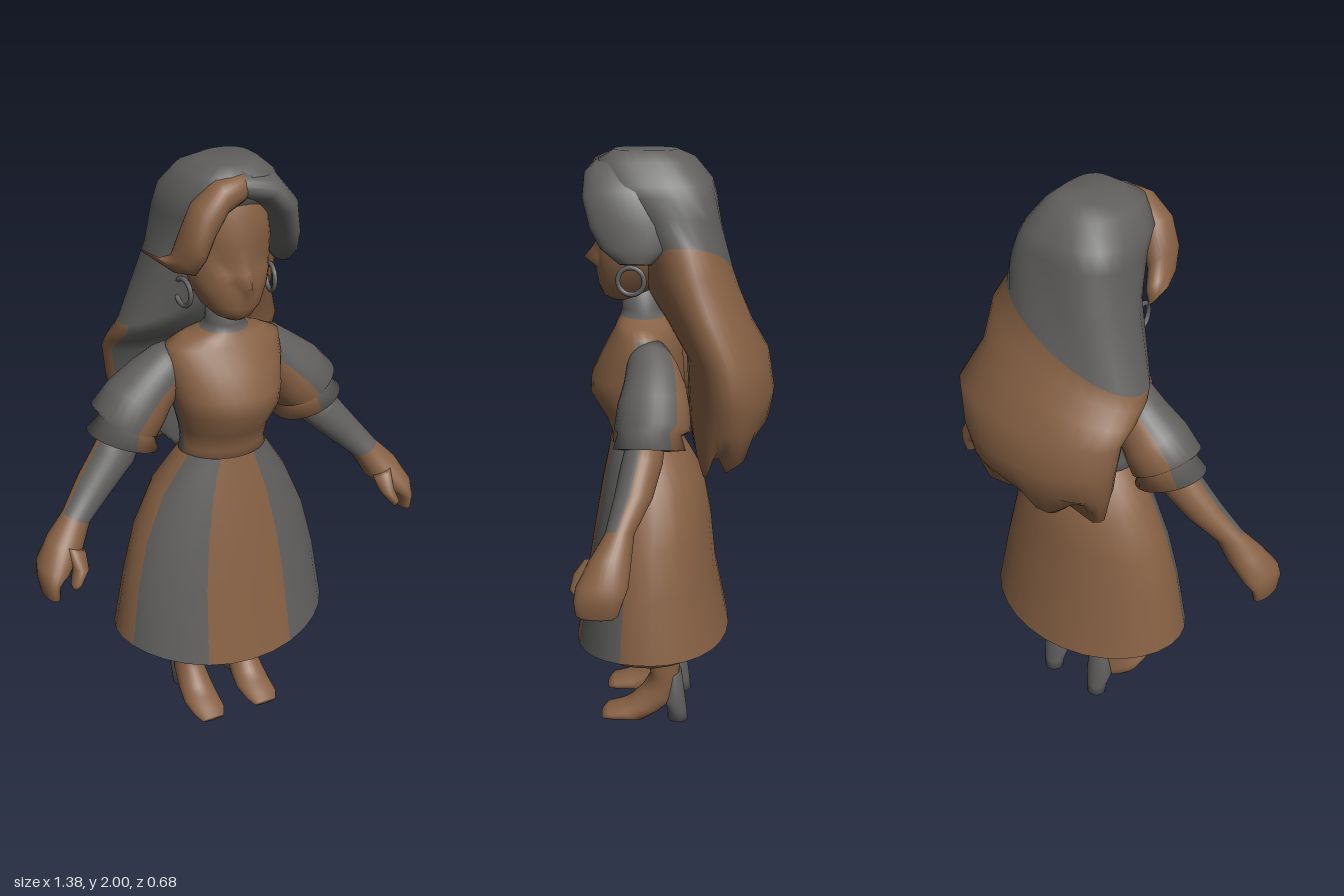
import * as THREE from 'three';

const N = 30; // points around every cross-section
const brown = new THREE.MeshStandardMaterial({ color: 0x876144, side: THREE.DoubleSide });
brown.name = 'warm brown';
const grey = new THREE.MeshStandardMaterial({ color: 0x605f5e, side: THREE.DoubleSide });
grey.name = 'slate grey';
const BROWN = () => 0, GREY = () => 1;

// Skins rings from top to bottom. Each ring is [ax, ay, bx, by, zFront, zBack, tilt]:
// a is its +x edge, b its -x edge, tilt lifts the front and lowers the back.
// paint(angle, y, x, ring) picks the colour; angle 0 faces front, 90 faces +x.
function loft(name, rings, paint = BROWN, { capped = true, warp = null } = {}) {
  const pos = [], faces = [[], []];
  rings.forEach(([ax, ay, bx, by, zf, zb, tilt = 0], i) => {
    for (let j = 0; j < N; j++) {
      const t = (j / N) * Math.PI * 2, s = Math.sin(t), c = Math.cos(t);
      const p = new THREE.Vector3(
        (ax + bx) / 2 + ((ax - bx) / 2) * s,
        (ay + by) / 2 + ((ay - by) / 2) * s + tilt * c,
        (zf + zb) / 2 + ((zf - zb) / 2) * c);
      if (warp) warp(p, i, t);
      pos.push(p.x, p.y, p.z);
    }
  });
  const at = (i, j) => i * N + (j % N);
  for (let i = 0; i < rings.length - 1; i++) {
    for (let j = 0; j < N; j++) {
      let angle = ((j + 0.5) * 360) / N;
      if (angle > 180) angle -= 360;
      const a = at(i, j), b = at(i + 1, j), c = at(i + 1, j + 1), d = at(i, j + 1);
      const mid = (k) => (pos[a * 3 + k] + pos[b * 3 + k] + pos[c * 3 + k] + pos[d * 3 + k]) / 4;
      faces[paint(angle, mid(1), mid(0), i)].push(a, b, c, a, c, d);
    }
  }
  if (capped) {
    for (const i of [0, rings.length - 1]) {
      const m = pos.length / 3, sum = [0, 0, 0];
      for (let j = 0; j < N; j++) for (let k = 0; k < 3; k++) sum[k] += pos[at(i, j) * 3 + k] / N;
      pos.push(...sum);
      const colour = paint(0, sum[1], sum[0], i);
      for (let j = 0; j < N; j++) {
        if (i === 0) faces[colour].push(m, at(i, j), at(i, j + 1));
        else faces[colour].push(m, at(i, j + 1), at(i, j));
      }
    }
  }
  const g = new THREE.BufferGeometry();
  g.setAttribute('position', new THREE.Float32BufferAttribute(pos, 3));
  g.setIndex([...faces[0], ...faces[1]]);
  g.addGroup(0, faces[0].length, 0);
  g.addGroup(faces[0].length, faces[1].length, 1);
  g.computeVertexNormals();
  const mesh = new THREE.Mesh(g, [brown, grey]);
  mesh.name = name;
  return mesh;
}

// Level ring: height, half width, front z, back z, tilt
const level = ([y, w, zf, zb, tilt = 0], x = 0) => [x + w, y, x - w, y, zf, zb, tilt];
// Limb ring given as outer x, y, inner x, y, z centre, half depth; s picks the side
const limb = (s) => ([ox, oy, ix, iy, z, h]) =>
  s > 0 ? [ox, oy, ix, iy, z + h, z - h] : [-ix, iy, -ox, oy, z + h, z - h];

function createArm(s) {
  const arm = new THREE.Group();
  arm.name = s > 0 ? 'leftArm' : 'rightArm';
  const rings = (list) => list.map(limb(s));
  // Puffed sleeve with a flared cuff
  arm.add(loft('sleeve', rings([
    [0.17, 1.42, 0.13, 1.26, 0.06, 0.07],
    [0.215, 1.405, 0.16, 1.22, 0.05, 0.085],
    [0.28, 1.36, 0.18, 1.19, 0.04, 0.1],
    [0.365, 1.3, 0.2, 1.15, 0.04, 0.115],
    [0.43, 1.23, 0.225, 1.11, 0.04, 0.12],
    [0.405, 1.19, 0.24, 1.115, 0.05, 0.1],
    [0.455, 1.15, 0.225, 1.065, 0.05, 0.115],
    [0.4, 1.13, 0.29, 1.08, 0.06, 0.06],
  ]), (a) => (a * s > 0 && a * s < 132 ? 1 : 0)));
  // Forearm running into a cupped hand
  arm.add(loft('forearmAndHand', rings([
    [0.4, 1.17, 0.29, 1.09, 0.06, 0.06],
    [0.44, 1.11, 0.315, 1.04, 0.07, 0.065],
    [0.51, 1.02, 0.4, 0.965, 0.09, 0.06],
    [0.58, 0.93, 0.495, 0.885, 0.125, 0.045],
    [0.645, 0.865, 0.535, 0.81, 0.15, 0.065],
    [0.69, 0.79, 0.59, 0.76, 0.17, 0.08],
    [0.692, 0.74, 0.63, 0.735, 0.18, 0.075],
    [0.685, 0.69, 0.635, 0.69, 0.185, 0.065],
    [0.675, 0.68, 0.65, 0.68, 0.185, 0.05],
  ]), (a, y) => (y > 0.92 && a * s < 84 && a * s > -120 ? 1 : 0)));
  arm.add(loft('thumb', rings([
    [0.6, 0.85, 0.54, 0.82, 0.2, 0.03],
    [0.595, 0.79, 0.545, 0.78, 0.235, 0.03],
    [0.61, 0.745, 0.575, 0.74, 0.25, 0.025],
    [0.607, 0.725, 0.59, 0.722, 0.25, 0.012],
  ])));
  return arm;
}

function createLeg(s) {
  const leg = new THREE.Group();
  leg.name = s > 0 ? 'leftLeg' : 'rightLeg';
  const x = 0.105 * s;
  // Leg and shoe upper, tilting forward towards the toe
  leg.add(loft('legAndShoe', [
    [0.55, 0.07, 0.1, -0.06],
    [0.35, 0.064, 0.095, -0.05],
    [0.18, 0.052, 0.07, -0.03],
    [0.11, 0.053, 0.1, -0.025, 0.018],
    [0.06, 0.06, 0.14, 0.04, 0.025],
    [0.031, 0.063, 0.175, 0.1, 0.031],
    [0.023, 0.058, 0.225, 0.19, 0.023],
    [0.012, 0.042, 0.245, 0.235, 0.012],
  ].map((r) => level(r, x))));
  leg.add(loft('shoeHeel', [
    [0.19, 0.04, 0.01, -0.04],
    [0.09, 0.05, 0.03, -0.052],
    [0.04, 0.038, 0.01, -0.058],
    [0, 0.034, 0.01, -0.062],
  ].map((r) => level(r, x)), GREY));
  return leg;
}

function createHead() {
  const head = new THREE.Group();
  head.name = 'head';
  // Nose profile, added to the middle of each face ring
  const nose = [0, 0, 0, 0.004, 0.024, 0.047, 0.008, 0, 0, 0];
  head.add(loft('face', [
    [1.93, 0.09, 0.2, 0], [1.85, 0.13, 0.235, -0.04], [1.76, 0.142, 0.238, -0.05],
    [1.71, 0.141, 0.235, -0.05], [1.675, 0.138, 0.237, -0.04], [1.645, 0.132, 0.24, -0.025],
    [1.615, 0.123, 0.242, -0.01], [1.56, 0.095, 0.238, 0.04],
    [1.525, 0.06, 0.224, 0.08], [1.51, 0.03, 0.2, 0.12],
  ].map((r) => level(r)), BROWN, {
    warp: (p, i, t) => {
      if (t === 0) p.z += nose[i];
      // Shallow eye sockets
      if (i === 3 && Math.abs(Math.sin(t) - 0) > 0.3 && Math.cos(t) > 0.75) p.z -= 0.012;
    },
  }));
  for (const s of [1, -1]) {
    const hoop = new THREE.Mesh(new THREE.TorusGeometry(0.043, 0.008, 8, 20), grey);
    hoop.name = s > 0 ? 'leftEarring' : 'rightEarring';
    hoop.position.set(0.152 * s, 1.6, 0.12);
    hoop.rotation.y = s * 1.42;
    head.add(hoop);
  }
  return head;
}

function createHair() {
  const hair = new THREE.Group();
  hair.name = 'hair';
  // Long mane: left x, y, right x, y, front z, back z; dyed grey above the sloping ring 5
  const mane = [
    [0.1, 1.997, -0.06, 1.99, 0.18, -0.02], [0.14, 1.965, -0.125, 1.965, 0.23, -0.075],
    [0.185, 1.9, -0.175, 1.895, 0.235, -0.13], [0.197, 1.865, -0.185, 1.83, 0.19, -0.145],
    [0.208, 1.81, -0.2, 1.7, 0.145, -0.16], [0.225, 1.72, -0.295, 1.46, 0.1, -0.2],
    [0.268, 1.64, -0.305, 1.42, 0.08, -0.225], [0.275, 1.5, -0.31, 1.38, 0.02, -0.265],
    [0.335, 1.36, -0.305, 1.33, -0.05, -0.32], [0.305, 1.22, -0.29, 1.22, -0.055, -0.34],
    [0.28, 1.13, -0.275, 1.13, -0.06, -0.325], [0.25, 1.04, -0.24, 1.04, -0.07, -0.28],
    [0.2, 0.995, -0.19, 0.995, -0.09, -0.22],
  ];
  const last = mane.length - 1;
  hair.add(loft('mane', mane, (a, y, x, i) => (i < 5 || (Math.abs(a) < 78 && x < 0) ? 1 : 0), {
    warp: (p, i, t) => {
      // Squarer crown
      const k = i < 5 ? 1 + 0.1 * Math.sin(2 * t) ** 2 : 1;
      p.x *= k;
      p.z = 0.05 + (p.z - 0.05) * k;
      // Pointed locks along the bottom, longer towards the body
      if (i >= last - 1) p.y += 0.04 * Math.sin(5 * t) - 0.02 * Math.cos(t);
    },
  }));
  // Swept fringe with a flicked tip
  hair.add(loft('fringe', [
    [0.0, 1.89, 0.0, 1.975, 0.25, 0.16],
    [-0.06, 1.865, -0.085, 1.965, 0.27, 0.16],
    [-0.1, 1.8, -0.16, 1.905, 0.28, 0.15],
    [-0.128, 1.73, -0.195, 1.815, 0.275, 0.14],
    [-0.15, 1.68, -0.205, 1.74, 0.245, 0.11],
    [-0.19, 1.675, -0.225, 1.72, 0.17, 0.08],
    [-0.245, 1.715, -0.255, 1.73, 0.05, 0.02],
  ]));
  hair.add(loft('sideSweep', [
    [0.0, 1.985, -0.01, 1.89, 0.25, 0.08],
    [0.12, 1.965, 0.05, 1.875, 0.27, 0.04],
    [0.19, 1.885, 0.1, 1.83, 0.27, 0.02],
    [0.214, 1.79, 0.13, 1.745, 0.245, 0],
    [0.222, 1.715, 0.148, 1.7, 0.21, 0.01],
    [0.225, 1.67, 0.175, 1.655, 0.15, 0.05],
  ], GREY));
  return hair;
}

export function createModel() {
  const model = new THREE.Group();
  model.name = 'womanInDress';
  // Bodice and neck
  model.add(loft('bodice', [
    [1.56, 0.06, 0.165, 0.04], [1.48, 0.062, 0.165, 0.035], [1.457, 0.08, 0.17, 0.02],
    [1.44, 0.14, 0.18, 0], [1.415, 0.195, 0.19, -0.02], [1.34, 0.198, 0.23, -0.035],
    [1.26, 0.187, 0.268, -0.04], [1.2, 0.178, 0.272, -0.04], [1.12, 0.152, 0.225, -0.035],
    [1.06, 0.145, 0.203, -0.03], [0.98, 0.16, 0.2, -0.04],
  ].map((r) => level(r)), (a, y) =>
    (y > 1.45 || (y < 1.4 && Math.abs(a) > 84 && Math.abs(a) < 120) ? 1 : 0)));
  // Flared skirt with two grey front panels and a dipping hem
  const skirt = [
    [1.035, 0.148, 0.208, -0.034], [0.99, 0.18, 0.216, -0.06], [0.9, 0.24, 0.235, -0.108],
    [0.75, 0.308, 0.262, -0.135], [0.58, 0.352, 0.29, -0.152], [0.365, 0.388, 0.336, -0.2],
  ].map((r) => level(r));
  model.add(loft('skirt', skirt, (a) => (Math.abs(a) > 24 && Math.abs(a) < 72 ? 1 : 0), {
    capped: false,
    warp: (p, i, t) => {
      const c = Math.cos(t);
      if (i === skirt.length - 1) p.y -= (c > 0 ? 0.06 : 0.03) * c * c;
    },
  }));
  // Underskirt closing the hem around the legs
  model.add(loft('underskirt', [
    [0.5, 0.345, 0.28, -0.14], [0.34, 0.358, 0.318, -0.194, -0.008], [0.335, 0.15, 0.12, -0.06],
  ].map((r) => level(r))));
  model.add(createHead(), createHair());
  for (const s of [1, -1]) model.add(createArm(s), createLeg(s));
  return model;
}
